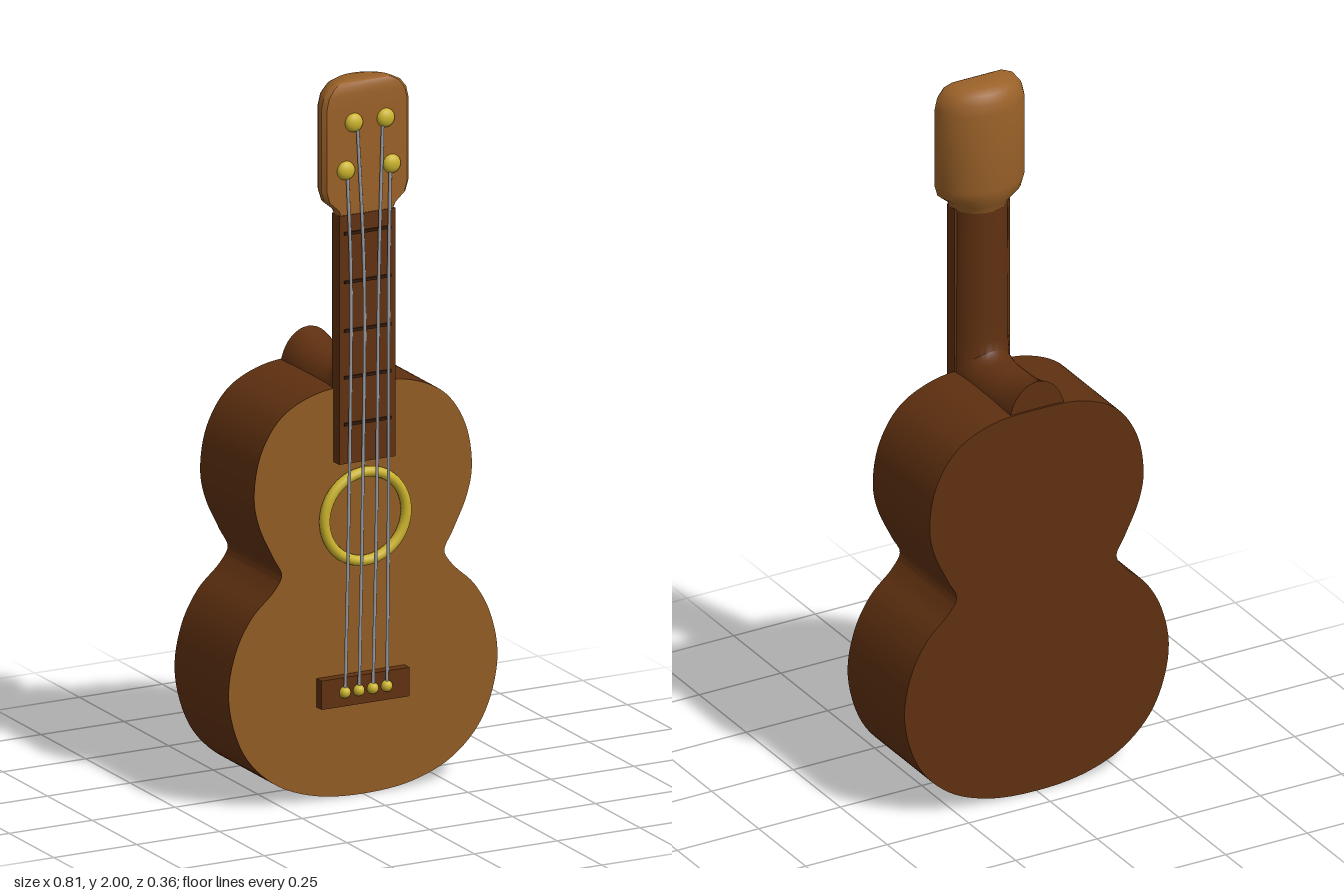
import * as THREE from 'three';
import { toCreasedNormals } from 'three/addons/utils/BufferGeometryUtils.js';

const paint = (name, color) => {
  const m = new THREE.MeshStandardMaterial({ color });
  m.name = name;
  return m;
};

// Loft of D-shaped rings; each ring is [halfWidth, flatY, flatZ, roundY, roundZ]
function loftD(rings, cx) {
  const section = [[0.92, 0]];
  const steps = 20;
  for (let i = 0; i <= steps; i++) {
    const a = (i / steps) * Math.PI;
    section.push([Math.cos(a), 0.1 + 0.9 * Math.sin(a)]);
  }
  section.push([-0.92, 0]);
  const n = section.length, pos = [], idx = [];
  for (const [w, fy, fz, ry, rz] of rings)
    for (const [sx, d] of section) pos.push(cx + sx * w, fy + (ry - fy) * d, fz + (rz - fz) * d);
  for (let r = 0; r < rings.length - 1; r++)
    for (let i = 0; i < n; i++) {
      const a = r * n + i, b = r * n + (i + 1) % n;
      idx.push(a, b, b + n, a, b + n, a + n);
    }
  const last = (rings.length - 1) * n;
  for (let i = 1; i < n - 1; i++) idx.push(0, i + 1, i, last, last + i, last + i + 1);
  const g = new THREE.BufferGeometry();
  g.setAttribute('position', new THREE.Float32BufferAttribute(pos, 3));
  g.setIndex(idx);
  return toCreasedNormals(g, 0.7);
}

export function createModel() {
  const root = new THREE.Group();
  root.name = 'smallGuitar';
  const darkWood = paint('darkWood', 0x5f3010);
  const topWood = paint('topWood', 0x905c22);
  const headWood = paint('headWood', 0x9a6128);
  const gold = paint('gold', 0xccb42e);
  const steel = paint('steel', 0x9c9ea4);
  const fretDark = paint('fretDark', 0x34190a);

  const add = (name, geometry, material, x = 0, y = 0, z = 0) => {
    const m = new THREE.Mesh(geometry, material);
    m.name = name;
    m.position.set(x, y, z);
    root.add(m);
    return m;
  };

  // Body: mirrored figure-eight outline
  const half = [
    [0, 0.005], [0.15, 0.02], [0.27, 0.07], [0.36, 0.165], [0.405, 0.32], [0.384, 0.45],
    [0.335, 0.54], [0.268, 0.605], [0.245, 0.645], [0.27, 0.697], [0.313, 0.79],
    [0.328, 0.87], [0.308, 0.99], [0.245, 1.085], [0.14, 1.135], [0, 1.145],
  ];
  const loop = [...half, ...half.slice(1, -1).reverse().map(([x, y]) => [-x, y])];
  const outline = new THREE.CatmullRomCurve3(loop.map(([x, y]) => new THREE.Vector3(x, y, 0)), true);
  const shape = new THREE.Shape(outline.getPoints(180).slice(0, -1).map(p => new THREE.Vector2(p.x, p.y)));
  const body = new THREE.ExtrudeGeometry(shape, { depth: 0.303, bevelEnabled: false });
  add('body', toCreasedNormals(body, 0.6), darkWood, 0, 0, -0.178);
  add('soundboard', new THREE.ShapeGeometry(shape), topWood, 0, 0, 0.127);

  // Neck sweeping back into the heel
  const cx = -0.005;
  add('neckAndHeel', loftD([
    [0.085, 1.1, -0.172, 1.225, -0.172],
    [0.085, 1.1, -0.12, 1.207, -0.12],
    [0.085, 1.1, -0.06, 1.195, -0.06],
    [0.085, 1.1, 0.03, 1.192, 0.03],
    [0.085, 1.1, 0.09, 1.196, 0.052],
    [0.085, 1.11, 0.15, 1.208, 0.066],
    [0.085, 1.2, 0.157, 1.235, 0.071],
    [0.085, 1.3, 0.157, 1.3, 0.071],
    [0.083, 1.66, 0.157, 1.66, 0.071],
  ], cx), darkWood);
  add('fingerboard', new THREE.BoxGeometry(0.17, 0.69, 0.04), darkWood, cx, 1.285, 0.14);
  for (const y of [1.05, 1.18, 1.31, 1.445, 1.58])
    add('fret', new THREE.BoxGeometry(0.14, 0.008, 0.008), fretDark, cx, y, 0.161);

  // Head with rounded back and crown
  add('head', loftD([
    [0.083, 1.625, 0.157, 1.625, 0.068],
    [0.092, 1.645, 0.158, 1.645, 0.06],
    [0.122, 1.67, 0.158, 1.67, 0.046],
    [0.131, 1.7, 0.158, 1.7, 0.04],
    [0.131, 1.93, 0.158, 1.93, 0.04],
    [0.124, 1.96, 0.158, 1.96, 0.044],
    [0.106, 1.983, 0.156, 1.983, 0.056],
    [0.082, 1.995, 0.15, 1.995, 0.075],
    [0.05, 2, 0.14, 2, 0.1],
  ], cx), headWood);

  // Sound hole ring and bridge
  add('soundHoleRing', new THREE.TorusGeometry(0.123, 0.0145, 12, 64), gold, 0, 0.78, 0.139);
  add('bridge', new THREE.BoxGeometry(0.265, 0.08, 0.03), darkWood, -0.008, 0.305, 0.14);

  // Strings, each with a bridge pin and a tuning peg: [bridge x, mid x, peg x, peg y]
  const strings = [
    [-0.072, -0.062, -0.07, 1.755], [-0.03, -0.022, -0.046, 1.885],
    [0.012, 0.022, 0.05, 1.885], [0.054, 0.052, 0.068, 1.755],
  ];
  for (const [bx, mx, px, py] of strings) {
    const path = new THREE.CatmullRomCurve3([
      new THREE.Vector3(bx, 0.305, 0.16),
      new THREE.Vector3((bx + mx) / 2, 0.78, 0.17),
      new THREE.Vector3(mx, 1.45, 0.174),
      new THREE.Vector3(px * 0.6 + mx * 0.4, py - 0.02, 0.164),
    ]);
    add('string', new THREE.TubeGeometry(path, 32, 0.005, 6), steel);
    add('bridgePin', new THREE.SphereGeometry(0.016, 16, 12), gold, bx, 0.305, 0.158);
    add('tuningPeg', new THREE.SphereGeometry(0.026, 20, 14), gold, px, py, 0.16).scale.z = 0.65;
  }
  return root;
}
